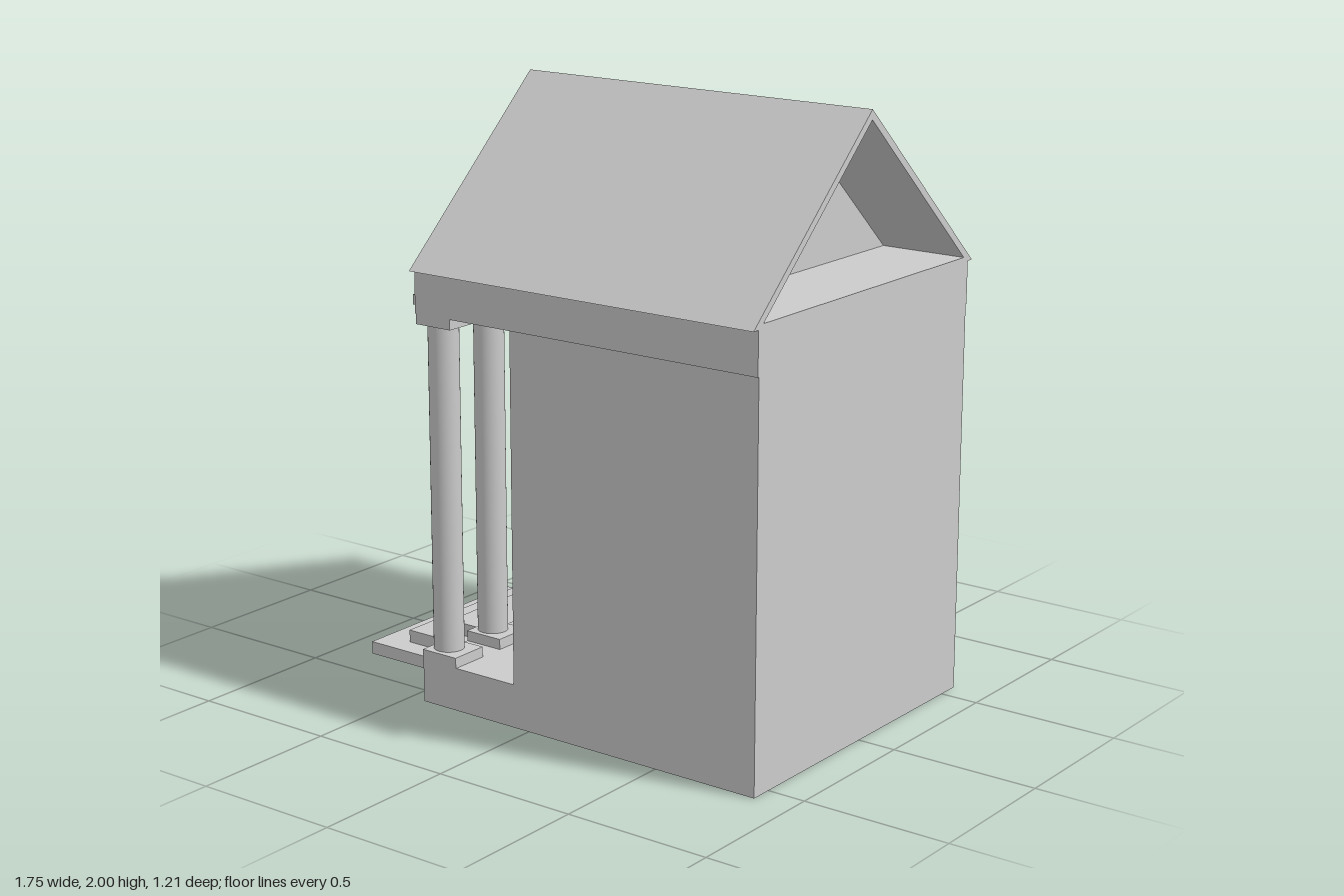
import * as THREE from 'three';

const material = new THREE.MeshStandardMaterial({ color: 0xcccccc });

export function createModel() {
  const model = new THREE.Group();
  model.name = 'temple';

  const add = (name, geometry) => {
    const mesh = new THREE.Mesh(geometry, material);
    mesh.name = name;
    model.add(mesh);
    return mesh;
  };
  // Box given by its limits on each axis
  const box = (name, x0, x1, y0, y1, z0, z1) =>
    add(name, new THREE.BoxGeometry(x1 - x0, y1 - y0, z1 - z0)
      .translate((x0 + x1) / 2, (y0 + y1) / 2, (z0 + z1) / 2));

  // Main hall, porch floor and the band under the roof
  box('hall', -0.06, 0.87, 0, 1.3, -0.575, 0.575);
  box('porchFloor', -0.44, -0.06, 0, 0.145, -0.575, 0.575);
  box('entablature', -0.44, 0.87, 1.3, 1.44, -0.58, 0.58);
  box('cornice', -0.47, -0.44, 1.32, 1.353, -0.555, 0.555);
  box('upperMoulding', -0.447, -0.44, 1.353, 1.37, -0.56, 0.56);

  // Door with raised panel, and the mat before it
  box('doorFrame', -0.083, -0.06, 0.145, 0.715, -0.17, 0.17);
  box('doorPanel', -0.09, -0.083, 0.155, 0.58, -0.13, 0.13);
  box('doorMat', -0.28, -0.09, 0.145, 0.157, -0.17, 0.17);

  // Columns, each with a square plinth and capital
  for (const z of [-0.51, -0.29, 0.29, 0.51]) {
    const shaft = new THREE.CylinderGeometry(0.05, 0.05, 1.085, 32);
    add('column', shaft.translate(-0.385, 0.7225, z));
    box('plinth', -0.44, -0.3, 0.145, 0.18, z - 0.067, z + 0.067);
    box('capital', -0.44, -0.3, 1.265, 1.3, z - 0.067, z + 0.067);
  }

  // Entrance steps, shrinking upwards
  [[-0.875, 0.36], [-0.77, 0.285], [-0.645, 0.215]].forEach(([x, half], i) =>
    box('step', x, -0.44, i * 0.043, (i + 1) * 0.043, -0.01 - half, -0.01 + half));

  // Triangular roof tube, open at both ends, with a gable fill set back inside
  const triangle = (Path, half, base, top) => {
    const path = new Path();
    path.moveTo(-half, base);
    path.lineTo(half, base);
    path.lineTo(0, top);
    path.closePath();
    return path;
  };
  const extrudeAlongX = (shape, x0, x1) =>
    new THREE.ExtrudeGeometry(shape, { depth: x1 - x0, bevelEnabled: false })
      .rotateY(Math.PI / 2).translate(x0, 0, 0);

  const roof = triangle(THREE.Shape, 0.605, 1.44, 2);
  roof.holes.push(triangle(THREE.Path, 0.555, 1.455, 1.968));
  add('roof', extrudeAlongX(roof, -0.44, 0.87));
  add('gable', extrudeAlongX(triangle(THREE.Shape, 0.556, 1.454, 1.969), -0.37, 0.57));

  return model;
}
